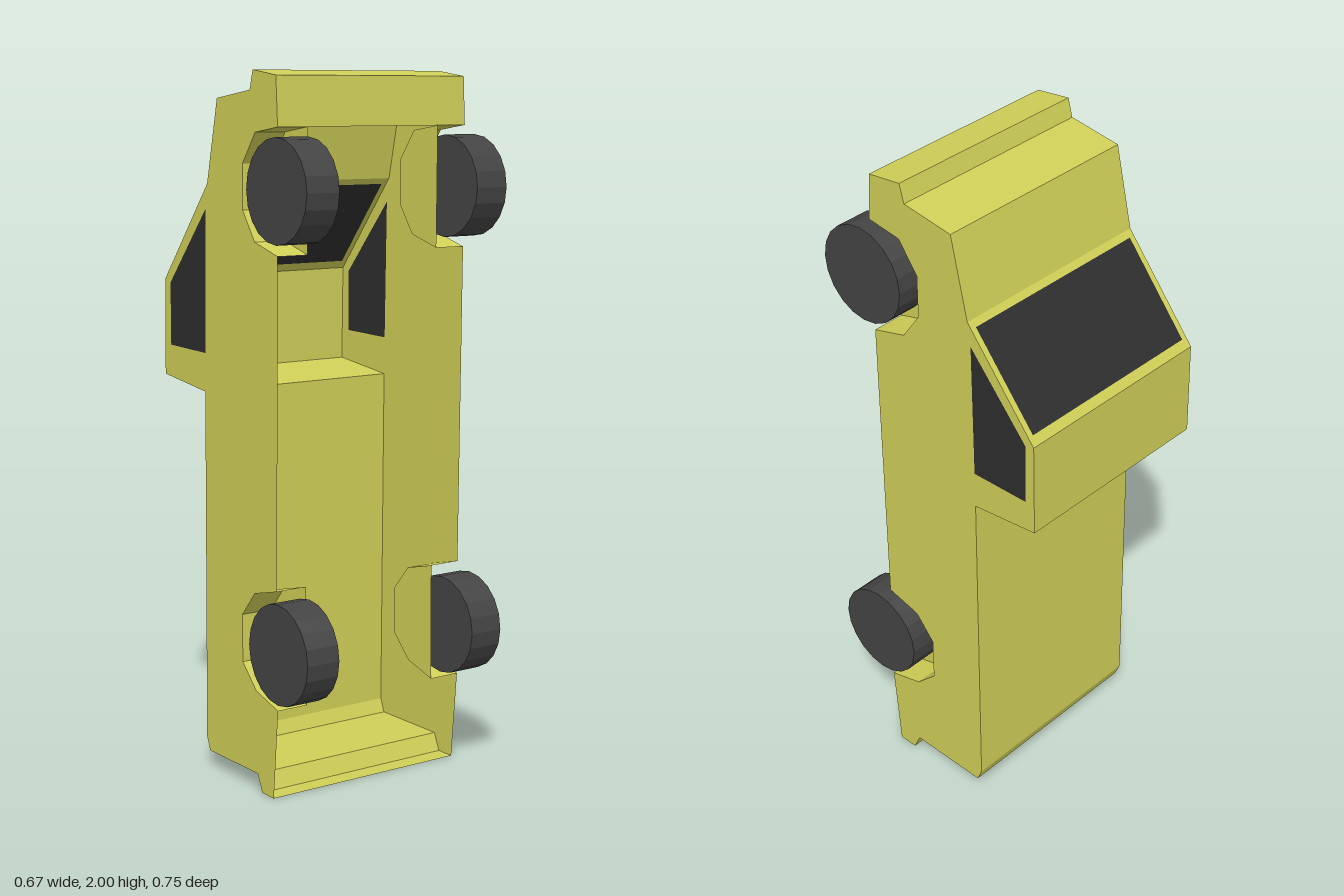
import * as THREE from 'three';

const W = 0.317;      // half width of the body
const WELL = 0.22;    // inner wall of the wheel wells

const paint = new THREE.MeshStandardMaterial({ color: 0xcfcf58, flatShading: true, side: THREE.DoubleSide });
const glass = new THREE.MeshStandardMaterial({ color: 0x2d2d2d, flatShading: true, side: THREE.DoubleSide });
const rubber = new THREE.MeshStandardMaterial({ color: 0x444444, flatShading: true });

// All outlines are [z, y] pairs; the truck stands on its tail, underside to +z.
const nose = [[0.212, 1.85], [0.205, 1.985], [0.095, 2], [0.08, 1.947], [-0.083, 1.925], [-0.137, 1.69]];
const cabAndBed = [[-0.368, 1.41], [-0.373, 1.132], [-0.157, 1.105], [-0.166, 0.09], [-0.15, 0.05],
  [0.1, 0.05], [0.122, 0], [0.18, 0]];
const frontArch = [[0.212, 1.85], [0.105, 1.835], [0.042, 1.75], [0.042, 1.625], [0.1, 1.542], [0.21, 1.51]];
const rearArch = [[0.2, 0.595], [0.09, 0.568], [0.027, 0.495], [0.027, 0.358], [0.095, 0.29], [0.203, 0.258]];
const sideWindow = [[-0.147, 1.62], [-0.34, 1.4], [-0.34, 1.22], [-0.155, 1.215]];

function add(parent, name, geometry, material) {
  const mesh = new THREE.Mesh(geometry, material);
  mesh.name = name;
  parent.add(mesh);
  return mesh;
}

function shapeOf(points, hole) {
  const shape = new THREE.Shape(points.map(([a, b]) => new THREE.Vector2(a, b)));
  if (hole) shape.holes.push(new THREE.Path(hole.map(([a, b]) => new THREE.Vector2(a, b))));
  return new THREE.ShapeGeometry(shape);
}

// Flat panel in a plane of constant x, facing outwards
function sidePanel(points, x, hole) {
  const s = Math.sign(x);
  const flip = (list) => list.map(([z, y]) => [-s * z, y]);
  return shapeOf(flip(points), hole && flip(hole)).rotateY(s * Math.PI / 2).translate(x, 0, 0);
}

// Sheet swept across x along an open outline
function strip(points, x0, x1) {
  const pos = [];
  for (let i = 0; i + 1 < points.length; i++) {
    const [az, ay] = points[i], [bz, by] = points[i + 1];
    pos.push(x0, ay, az, x1, ay, az, x1, by, bz, x0, ay, az, x1, by, bz, x0, by, bz);
  }
  const g = new THREE.BufferGeometry();
  g.setAttribute('position', new THREE.Float32BufferAttribute(pos, 3));
  g.computeVertexNormals();
  return g;
}

// Lays a flat shape on the windscreen slope: y = 0 at the roof, 1 at the bonnet
function onSlope(geometry) {
  const [z0, y0] = cabAndBed[0], [z1, y1] = nose[nose.length - 1];
  const p = geometry.attributes.position;
  for (let i = 0; i < p.count; i++) {
    const t = p.getY(i);
    p.setXYZ(i, p.getX(i), y0 + (y1 - y0) * t, z0 + (z1 - z0) * t);
  }
  // The slope faces up and back, so the shape is turned over
  const index = geometry.index.array;
  for (let i = 0; i < index.length; i += 3) [index[i], index[i + 1]] = [index[i + 1], index[i]];
  geometry.computeVertexNormals();
  return geometry;
}

const rect = (w, a, b) => [[-w, a], [w, a], [w, b], [-w, b]];

export function createModel() {
  const truck = new THREE.Group();
  truck.name = 'pickupTruck';

  // Hollow body shell, open underneath
  const body = new THREE.Group();
  body.name = 'body';
  truck.add(body);
  add(body, 'noseAndBonnet', strip(nose, -W, W), paint);
  add(body, 'cabRoofBedAndTail', strip(cabAndBed, -W, W), paint);

  // Windscreen and its frame
  const screen = rect(0.3, 0.08, 0.94);
  add(body, 'windscreenFrame', onSlope(shapeOf(rect(W, 0, 1), screen)), paint);
  add(body, 'windscreen', onSlope(shapeOf(screen)), glass);

  // Sides with window openings and wheel arches
  const outline = [...nose, ...cabAndBed, ...[...rearArch].reverse(), ...[...frontArch].reverse().slice(0, -1)];
  const wheel = new THREE.CylinderGeometry(0.142, 0.142, 0.104, 20).rotateZ(Math.PI / 2);

  for (const [s, side] of [[1, 'left'], [-1, 'right']]) {
    add(body, side + 'Side', sidePanel(outline, s * W, sideWindow), paint);
    add(body, side + 'Window', sidePanel(sideWindow, s * W), glass);

    for (const [arch, end, y] of [[frontArch, 'Front', 1.683], [rearArch, 'Rear', 0.426]]) {
      add(body, side + end + 'Arch', strip(arch, s > 0 ? W : -WELL, s > 0 ? WELL : -W), paint);
      add(body, side + end + 'WellWall', sidePanel(arch, s * WELL), paint);
      add(truck, side + end + 'Wheel', wheel, rubber).position.set(s * 0.284, y, 0.231);
    }
  }
  return truck;
}
